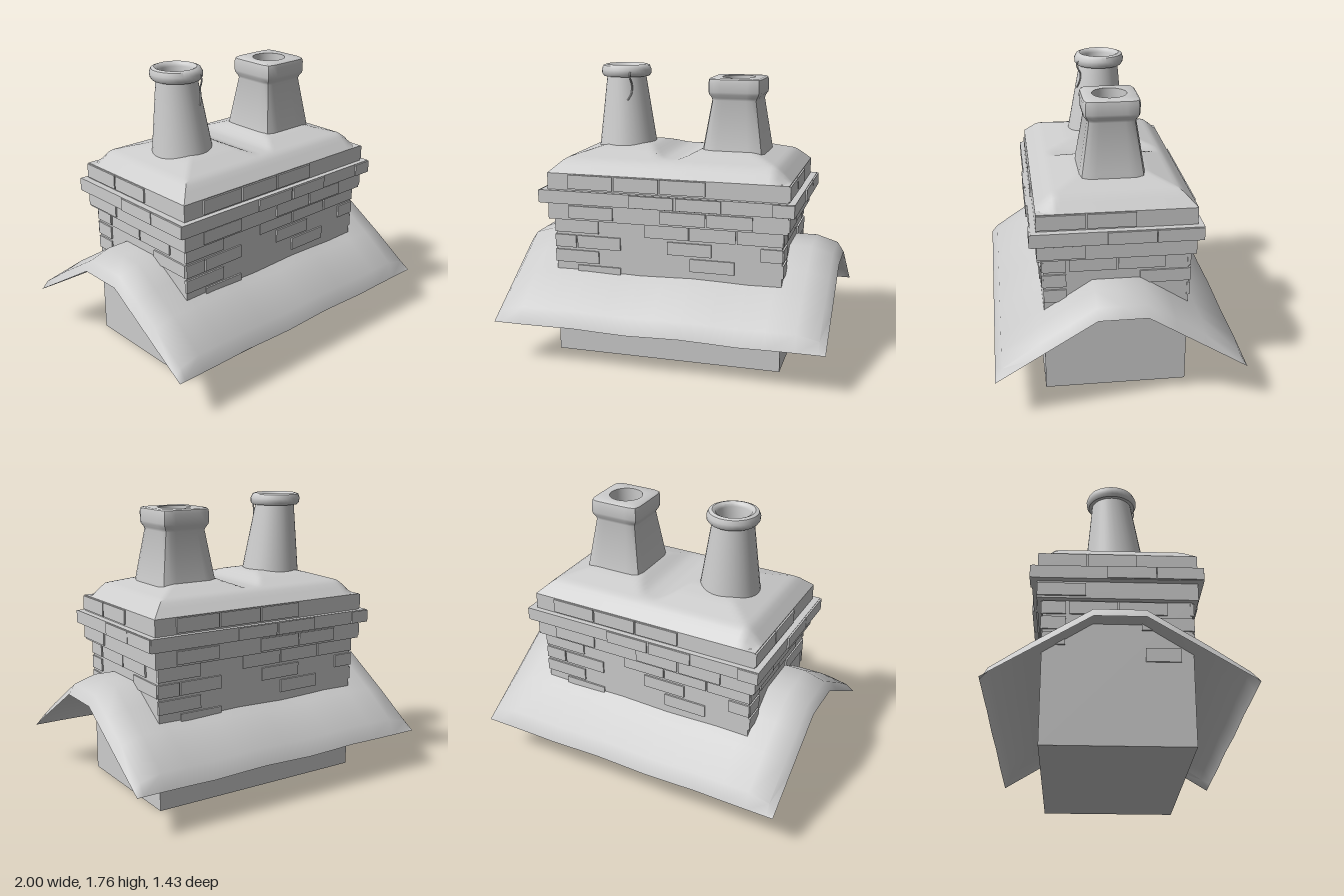
import * as THREE from 'three';
import { toCreasedNormals } from 'three/addons/utils/BufferGeometryUtils.js';

const plaster = new THREE.MeshStandardMaterial({ color: 0xcccccc, side: THREE.DoubleSide });
plaster.name = 'pale grey';

function add(parent, name, geometry) {
  const mesh = new THREE.Mesh(geometry, plaster);
  mesh.name = name;
  parent.add(mesh);
  return mesh;
}

// Box given by half widths and a height range
function block(parent, name, hx, hz, y0, y1) {
  const g = new THREE.BoxGeometry(hx * 2, y1 - y0, hz * 2);
  g.translate(0, (y0 + y1) / 2, 0);
  return add(parent, name, g);
}

// Move every vertex by a rule
function deform(geometry, rule, crease) {
  const p = geometry.attributes.position, v = new THREE.Vector3();
  for (let i = 0; i < p.count; i++) {
    v.fromBufferAttribute(p, i);
    rule(v, i);
    p.setXYZ(i, v.x, v.y, v.z);
  }
  geometry.computeVertexNormals();
  return toCreasedNormals(geometry, crease);
}

// Piecewise linear curve through [x, y] points
function lerpTable(t, x) {
  for (let i = 1; i < t.length; i++) {
    if (x <= t[i][0]) {
      const k = (x - t[i - 1][0]) / (t[i][0] - t[i - 1][0]);
      return THREE.MathUtils.lerp(t[i - 1][1], t[i][1], Math.max(k, 0));
    }
  }
  return t[t.length - 1][1];
}

const mirror = (a) => [...a.map((x) => -x), 0, ...a.slice().reverse()];

// Saddle of roofing draped round the stack, pinched down along its ends
function roofGeometry() {
  const xs = mirror([1, 0.96, 0.83, 0.66, 0.5, 0.33, 0.16]);
  const zs = mirror([0.715, 0.675, 0.465, 0.3, 0.14]);
  const g = new THREE.PlaneGeometry(1, 1, xs.length - 1, zs.length - 1);
  return deform(g, (v, i) => {
    const x = xs[i % xs.length], z = zs[Math.floor(i / xs.length)];
    const low = 0.61 - 0.617 * Math.max(Math.abs(z) - 0.14, 0);
    const lift = lerpTable([[0.14, 0.1], [0.465, 0.092], [0.675, 0.07], [0.715, 0]], Math.abs(z));
    const end = lerpTable([[0.83, 1], [0.96, 0.6], [1, 0]], Math.abs(x));
    const sag = Math.abs(x) < 0.8 ? 0.005 * Math.sin(x * 9) : 0;
    v.set(x, low + lift * end + sag, z);
  }, 0.9);
}

// Mortar crown: sloped edges, two mounds and a dip, two chipped corners
function crownGeometry() {
  const g = new THREE.PlaneGeometry(1.47, 0.91, 60, 38).rotateX(-Math.PI / 2);
  const slope = [[0, 0], [0.085, 0.08], [0.24, 0.128], [0.34, 0.148]];
  return deform(g, (v) => {
    const dx = 0.735 - Math.abs(v.x), dz = 0.455 - Math.abs(v.z);
    let d = Math.min(dx, dz);
    if (v.x * v.z > 0) d = Math.max(0, Math.min(d, (dx + dz) * 0.75 - 0.06));
    const cap = 0.093 + 0.055 * THREE.MathUtils.smoothstep(Math.abs(v.x), 0.03, 0.2);
    v.y = 1.14 + Math.min(lerpTable(slope, d), cap);
  }, 0.6);
}

const lathe = (pts, n) => new THREE.LatheGeometry(pts.map((p) => new THREE.Vector2(...p)), n);

// Tapered round pot, leaning slightly
function roundPot() {
  const g = lathe([[0.192, 1.2], [0.178, 1.285], [0.122, 1.69], [0.143, 1.69], [0.154, 1.705],
    [0.156, 1.73], [0.145, 1.755], [0.125, 1.762], [0.106, 1.752], [0.1, 1.735], [0.1, 1.55], [0, 1.55]], 32);
  return deform(g, (v) => {
    const k = (v.y - 1.285) / 0.47;
    v.x += -0.367 - 0.018 * k;
    v.z += -0.002 - 0.024 * k;
  }, 0.8);
}

// Tapered square pot with a round flue hole
function squarePot() {
  const pts = [[0.197, 1.2], [0.188, 1.285], [0.142, 1.57], [0.147, 1.585], [0.16, 1.605], [0.163, 1.62],
    [0.163, 1.675], [0.159, 1.695], [0.15, 1.702], [0.1, 1.702], [0.1, 1.58], [0, 1.58]];
  return deform(lathe(pts, 40), (v, i) => {
    if (i % pts.length < 9) {
      const r = Math.hypot(v.x, v.z), c = Math.abs(v.x / r), s = Math.abs(v.z / r);
      const f = 1 / Math.pow(c ** 9 + s ** 9, 1 / 9);
      v.x *= f;
      v.z *= f;
    }
    v.x += 0.343;
  }, 0.7);
}

// Brick rows: bottom, top, half width and half depth of the wall behind, then spans along each face
const rows = [
  { y: [1.05, 1.135], hx: 0.735, hz: 0.455,
    long: [[-0.6, -0.32], [-0.31, -0.035], [-0.025, 0.25]], short: [[-0.455, -0.18], [-0.17, 0.105]] },
  { y: [0.963, 1.037], hx: 0.775, hz: 0.487,
    long: [[-0.205, 0.065], [0.08, 0.35], [0.65, 0.775]], short: [[-0.06, 0.215], [0.22, 0.485]] },
  { y: [0.868, 0.945], hx: 0.735, hz: 0.455,
    long: [[-0.6, -0.32], [-0.025, 0.25], [0.26, 0.53]], short: [[-0.455, -0.18]] },
  { y: [0.77, 0.848], hx: 0.7, hz: 0.42,
    long: [[-0.705, -0.425], [-0.13, 0.14], [0.15, 0.425], [0.435, 0.705]],
    short: [[-0.42, -0.29], [-0.27, 0], [0.01, 0.28]] },
  { y: [0.675, 0.753], hx: 0.7, hz: 0.42,
    long: [[-0.705, -0.57], [-0.56, -0.285], [0.01, 0.28], [0.575, 0.705]],
    short: [[-0.42, -0.29], [0.135, 0.415]] },
  { y: [0.58, 0.658], hx: 0.7, hz: 0.42,
    long: [[-0.705, -0.425], [0.15, 0.42]], short: [[-0.42, -0.29]] },
  { y: [0.485, 0.565], hx: 0.7, hz: 0.42,
    long: [[-0.56, -0.285]], short: [[0.155, 0.35]] },
];

function addBricks(parent) {
  const wall = (name, turn, key, depth) => {
    const group = new THREE.Group();
    group.name = name;
    group.rotation.y = turn;
    for (const row of rows) {
      for (const [a, b] of row[key]) {
        const g = new THREE.BoxGeometry(b - a, row.y[1] - row.y[0], 0.02);
        g.translate((a + b) / 2, (row.y[0] + row.y[1]) / 2, row[depth]);
        add(group, 'brick', g);
      }
    }
    parent.add(group);
  };
  wall('frontBricks', 0, 'long', 'hz');
  wall('rightBricks', Math.PI / 2, 'short', 'hx');
  wall('backBricks', Math.PI, 'long', 'hz');
  wall('leftBricks', -Math.PI / 2, 'short', 'hx');
}

export function createModel() {
  const model = new THREE.Group();
  model.name = 'chimney';

  // Stack and its stepped courses
  block(model, 'stack', 0.7, 0.42, 0, 0.86);
  block(model, 'lowerCourse', 0.735, 0.455, 0.855, 0.96);
  block(model, 'wideCourse', 0.775, 0.487, 0.96, 1.04);
  block(model, 'upperCourse', 0.735, 0.455, 1.04, 1.14);
  addBricks(model);

  add(model, 'roofSaddle', roofGeometry());
  add(model, 'mortarCrown', crownGeometry());
  add(model, 'roundPot', roundPot());
  add(model, 'squarePot', squarePot());

  // Thin crack running down the round pot
  const crack = new THREE.CatmullRomCurve3([[-0.315, 1.75, 0.09], [-0.315, 1.7, 0.122], [-0.308, 1.64, 0.1],
    [-0.31, 1.59, 0.108], [-0.33, 1.55, 0.122]].map((p) => new THREE.Vector3(...p)));
  add(model, 'potCrack', new THREE.TubeGeometry(crack, 16, 0.005, 5));
  return model;
}
